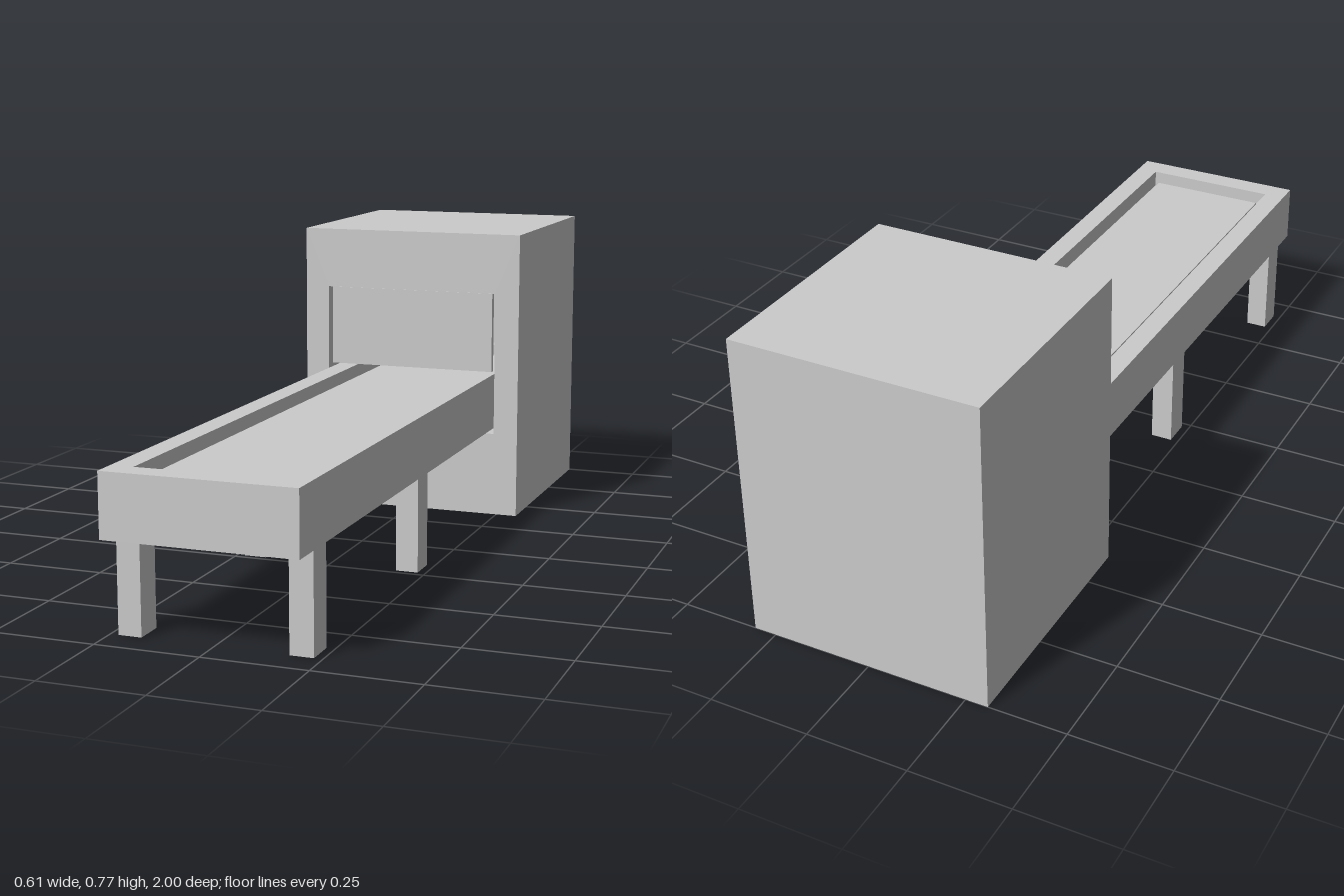
import * as THREE from 'three';
import { mergeGeometries } from 'three/addons/utils/BufferGeometryUtils.js';

const material = new THREE.MeshStandardMaterial({ color: 0xcccccc, flatShading: true, side: THREE.DoubleSide });

function add(parent, name, geometry, x = 0, y = 0, z = 0) {
  const mesh = new THREE.Mesh(geometry, material);
  mesh.name = name;
  mesh.position.set(x, y, z);
  parent.add(mesh);
  return mesh;
}

// Box given by its lower and upper limits
function block(parent, name, [x0, x1], [y0, y1], [z0, z1]) {
  return add(parent, name, new THREE.BoxGeometry(x1 - x0, y1 - y0, z1 - z0),
    (x0 + x1) / 2, (y0 + y1) / 2, (z0 + z1) / 2);
}

// Box behind z = 0 whose front side is left off
function openBox(halfWidth, y0, y1, depth) {
  const geometry = new THREE.BoxGeometry(halfWidth * 2, y1 - y0, depth);
  const index = Array.from(geometry.index.array);
  index.splice(24, 6);
  geometry.setIndex(index);
  geometry.clearGroups();
  return geometry.translate(0, (y0 + y1) / 2, -depth / 2);
}

function rectangle(PathType, halfWidth, y0, y1) {
  return new PathType([[-halfWidth, y0], [halfWidth, y0], [halfWidth, y1], [-halfWidth, y1]]
    .map(([x, y]) => new THREE.Vector2(x, y)));
}

// Solid body with a rectangular pocket sunk into its front
function pocketBox(body, pocket) {
  const frame = rectangle(THREE.Shape, body.half, body.y0, body.y1);
  frame.holes.push(rectangle(THREE.Path, pocket.half, pocket.y0, pocket.y1));
  const inside = openBox(pocket.half, pocket.y0, pocket.y1, pocket.depth);
  // The pocket's walls face inwards
  inside.setIndex(Array.from(inside.index.array).reverse());
  inside.attributes.normal.array.forEach((n, i, a) => { a[i] = -n; });
  return mergeGeometries([
    openBox(body.half, body.y0, body.y1, body.depth),
    new THREE.ShapeGeometry(frame),
    inside,
  ]);
}

export function createModel() {
  const model = new THREE.Group();
  model.name = 'conveyorScanner';

  // Tall cabinet with a tunnel mouth and a hanging curtain
  add(model, 'cabinet', pocketBox(
    { half: 0.306, y0: 0, y1: 0.77, depth: 0.612 },
    { half: 0.24, y0: 0.225, y1: 0.61, depth: 0.57 }), 0, 0, -0.388);
  block(model, 'curtain', [-0.23, 0.23], [0.395, 0.609], [-0.41, -0.393]);

  // Long tray, its pocket facing up, running into the tunnel
  const tray = add(model, 'tray', pocketBox(
    { half: 0.23, y0: -1, y1: 0.95, depth: 0.151 },
    { half: 0.175, y0: -0.94, y1: 0.9, depth: 0.045 }), 0, 0.385, 0);
  tray.rotation.x = -Math.PI / 2;
  block(model, 'belt', [-0.155, 0.155], [0.34, 0.361], [-0.88, 0.92]);

  // Two pairs of square legs, flush with the tray's sides
  for (const [x0, x1] of [[-0.23, -0.174], [0.174, 0.23]]) {
    for (const z of [0.16, 0.85]) block(model, 'leg', [x0, x1], [0, 0.234], [z, z + 0.073]);
  }
  return model;
}
